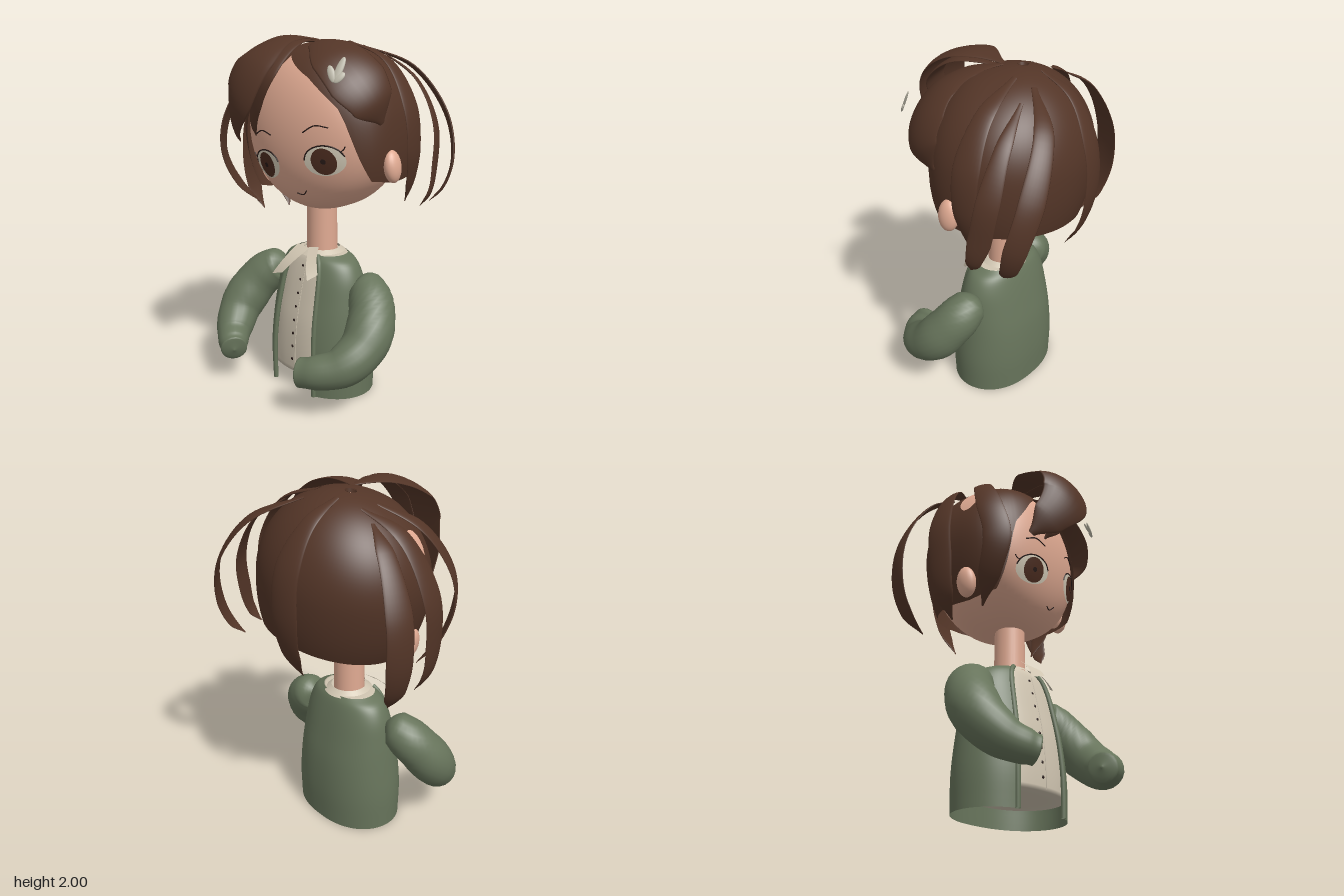
import * as THREE from 'three';
import { mergeVertices } from 'three/addons/utils/BufferGeometryUtils.js';

const mat = (name, color) => new THREE.MeshStandardMaterial({ name, color, side: THREE.DoubleSide });
const V = (x, y, z) => new THREE.Vector3(x, y, z);

// smooth surface from a rule fn(u, v) -> Vector3
function grid(fn, nu, nv) {
  const pos = [], idx = [];
  for (let i = 0; i <= nu; i++) for (let j = 0; j <= nv; j++) pos.push(...fn(i / nu, j / nv).toArray());
  for (let i = 0; i < nu; i++) for (let j = 0; j < nv; j++) {
    const a = i * (nv + 1) + j, b = a + nv + 1;
    idx.push(a, b, a + 1, b, b + 1, a + 1);
  }
  let g = new THREE.BufferGeometry();
  g.setAttribute('position', new THREE.Float32BufferAttribute(pos, 3));
  g.setIndex(idx);
  g = mergeVertices(g, 1e-5);
  g.computeVertexNormals();
  return g;
}

// sweep along [x, y, z, width] points; flat = thickness of a ribbon that hugs the head, 0 = round
const HEAD = V(0, 1.5, -0.085);
function sweep(pts, flat = 0, wrinkle = 0) {
  const path = new THREE.CatmullRomCurve3(pts.map(p => V(p[0], p[1], p[2])));
  const widths = pts.map(p => p[3]), n = pts.length - 1;
  return grid((u, v) => {
    const p = path.getPoint(u), t = path.getTangent(u), k = Math.min(n - 1, Math.floor(u * n)), f = u * n - k;
    const s = f * f * (3 - 2 * f) * 0.5 + f * 0.5;
    const w = (widths[k] * (1 - s) + widths[k + 1] * s) * (1 + wrinkle * Math.sin(u * 38));
    const nor = p.clone().sub(HEAD);
    nor.addScaledVector(t, -nor.dot(t)).normalize();
    const side = t.clone().cross(nor).normalize();
    const a = v * Math.PI * 2, c = Math.cos(a) * w / 2;
    const lift = flat ? Math.sin(a) * flat * Math.min(1, w / 0.05) - c * c / 0.75 : Math.sin(a) * w / 2;
    return p.addScaledVector(side, c).addScaledVector(nor, lift);
  }, n * 8, 20);
}

export function createModel() {
  const skin = mat('skin', 0xe0aa92), hair = mat('hair', 0x533527), green = mat('jacketGreen', 0x67745b);
  const cream = mat('cream', 0xd0c5b1), white = mat('eyeWhite', 0xd8cfbb), iris = mat('iris', 0x4d2d20);
  const dark = mat('dark', 0x281a17), silver = mat('clipGrey', 0xb8b4a4);
  const model = new THREE.Group();
  const add = (parent, name, geo, m) => {
    const mesh = new THREE.Mesh(geo, m);
    mesh.name = name;
    parent.add(mesh);
    return mesh;
  };

  // ---- torso, turned slightly to its right
  const torso = new THREE.Group();
  torso.name = 'torso';
  torso.position.set(-0.01, 0, -0.01);
  torso.rotation.y = -0.28;
  model.add(torso);
  const rows = [[0, 0.342, 0.243], [0.2, 0.345, 0.246], [0.4, 0.328, 0.23], [0.55, 0.31, 0.2],
    [0.68, 0.285, 0.168], [0.76, 0.24, 0.142], [0.797, 0.17, 0.12]];
  const outline = new THREE.CatmullRomCurve3(rows.map(r => V(r[1], r[0], r[2])));
  const onTorso = (v, a, scale) => {
    const r = outline.getPoint(v);
    return V(r.x * scale * Math.sign(Math.sin(a)) * Math.abs(Math.sin(a)) ** 0.85, r.y, r.z * scale * Math.cos(a));
  };
  const gap = 0.45;
  add(torso, 'jacket', grid((u, v) => onTorso(v, gap + u * (2 * Math.PI - 2 * gap), 1), 64, 30), green);
  for (const s of [-1, 1]) {
    const edge = Array.from({ length: 12 }, (_, i) => onTorso(i / 11, s * gap, 1));
    add(torso, 'jacketTrim', new THREE.TubeGeometry(new THREE.CatmullRomCurve3(edge), 30, 0.014, 8), green);
  }
  // shirt, closed above and below
  add(torso, 'shirt', grid((u, v) => {
    const k = Math.min(1, Math.max(0, (v - 0.06) / 0.88));
    const p = onTorso(0.09 + k * 0.91, u * Math.PI * 2, 0.95);
    const close = v < 0.06 ? v / 0.06 : v > 0.94 ? (1 - v) / 0.06 : 1;
    return V(p.x * close, p.y, p.z * close);
  }, 48, 50), cream);
  const front = y => {
    let v = 0;
    while (v < 1 && outline.getPoint(v).y < y) v += 0.01;
    return onTorso(v, 0, 0.95).z;
  };
  const placket = Array.from({ length: 10 }, (_, i) => V(0.025, 0.12 + i * 0.07, front(0.12 + i * 0.07)));
  add(torso, 'placketSeam', new THREE.TubeGeometry(new THREE.CatmullRomCurve3(placket), 20, 0.003, 5), cream);
  for (let i = 0; i < 8; i++) {
    const y = 0.18 + i * 0.078;
    const b = add(torso, 'button', new THREE.SphereGeometry(0.009, 10, 8), dark);
    b.position.set(0, y, front(y));
    b.scale.z = 0.4;
  }

  // ---- sleeves
  add(model, 'rightSleeve', sweep([[-0.27, 0.66, -0.05, 0], [-0.34, 0.64, -0.04, 0.21], [-0.45, 0.545, 0, 0.26],
    [-0.52, 0.39, 0.1, 0.26], [-0.49, 0.27, 0.22, 0.21], [-0.435, 0.23, 0.3, 0.17], [-0.4, 0.215, 0.34, 0.15],
    [-0.385, 0.21, 0.355, 0]], 0, 0.025), green);
  add(model, 'leftSleeve', sweep([[0.24, 0.66, 0.03, 0], [0.31, 0.64, 0.05, 0.21], [0.39, 0.545, 0.12, 0.26],
    [0.415, 0.4, 0.24, 0.26], [0.35, 0.3, 0.37, 0.22], [0.23, 0.265, 0.44, 0.18], [0.14, 0.25, 0.455, 0.16],
    [0.115, 0.248, 0.457, 0]], 0, 0.025), green);

  // ---- neck, collar and loose neck ribbons
  add(model, 'neck', new THREE.CylinderGeometry(0.085, 0.088, 0.34, 32), skin).position.set(-0.01, 0.94, -0.012);
  add(model, 'collar', new THREE.CylinderGeometry(0.1, 0.14, 0.03, 32, 1, true), cream).position.set(-0.005, 0.803, -0.01);
  const strip = (a, b, c, d) => grid((u, v) => {
    const p = V(...a).lerp(V(...b), u).lerp(V(...d).lerp(V(...c), u), v);
    p.z += 0.02 * Math.sin(v * Math.PI);
    return p;
  }, 4, 8);
  add(model, 'neckRibbon', strip([-0.11, 0.84, 0.09], [-0.02, 0.83, 0.11], [-0.11, 0.71, 0.25], [-0.2, 0.68, 0.22]), cream);
  add(model, 'neckRibbon', strip([-0.03, 0.83, 0.1], [0.03, 0.84, 0.09], [0.085, 0.71, 0.19], [0.04, 0.68, 0.23]), cream);

  // ---- head, tilted to one side; the front half is flattened by a power rule
  const head = new THREE.Group();
  head.name = 'head';
  head.position.copy(HEAD);
  head.rotation.set(0, -0.1, 0.15);
  model.add(head);
  const R = V(0.435, 0.455, 0.39);
  const flatten = (c, power) => (c > 0 ? c ** power : c);
  add(head, 'face', grid((u, v) => {
    const a = u * 2 * Math.PI, k = Math.sin(v * Math.PI);
    return V(R.x * k * Math.sin(a), R.y * Math.cos(v * Math.PI), R.z * flatten(k * Math.cos(a), 0.62));
  }, 96, 48), skin);
  const onFace = (x, y, off) =>
    V(x, y, R.z * flatten(Math.sqrt(Math.max(0, 1 - (x / R.x) ** 2 - (y / R.y) ** 2)), 0.62) + off);
  const disc = (cx, cy, rx, ry, off) => grid((u, v) =>
    onFace(cx + u * rx * Math.cos(v * 2 * Math.PI), cy + u * ry * Math.sin(v * 2 * Math.PI), off), 6, 32);
  const line = (pts, r) => new THREE.TubeGeometry(
    new THREE.CatmullRomCurve3(pts.map(p => onFace(p[0], p[1], 0.004))), 24, r, 6);
  for (const s of [-1, 1]) {
    const x = s * 0.195, y = -0.158;
    add(head, 'eyeWhite', disc(x, y, 0.107, 0.08, 0.004), white);
    add(head, 'iris', disc(x, y - 0.003, 0.066, 0.071, 0.007), iris);
    add(head, 'pupil', disc(x, y - 0.003, 0.014, 0.014, 0.0095), dark);
    const lash = [0, 1, 2, 3, 4, 5, 6].map(i => {
      const a = (0.05 + 0.9 * i / 6) * Math.PI;
      return [x + s * 0.107 * Math.cos(a), y + 0.081 * Math.sin(a)];
    });
    add(head, 'upperLash', line(lash, 0.004), dark);
    add(head, 'lashFlick', line([[x + s * 0.095, y + 0.04], [x + s * 0.11, y + 0.052], [x + s * 0.117, y + 0.065]], 0.003), dark);
    add(head, 'eyebrow', line([[s * 0.11, 0.0], [s * 0.18, 0.028], [s * 0.25, 0.01]], 0.0035), dark);
    const ear = add(head, 'ear', new THREE.SphereGeometry(1, 24, 18), skin);
    ear.position.set(s * 0.455, -0.23, 0.09 + s * 0.02);
    ear.scale.set(0.042, 0.087, 0.058);
  }
  add(head, 'mouth', line([[-0.035, -0.325], [0, -0.337], [0.035, -0.315]], 0.003), dark);

  // ---- hair cap with a small hole at the crown: rim height follows the angle from the front
  const C = V(0.48, 0.475, 0.41);
  const hairline = [[0, 0.4], [0.4, 0.27], [0.74, 0.09], [0.84, -0.06], [0.94, -0.18], [1.1, -0.29], [1.5, -0.32], [Math.PI, -0.29]];
  const rimY = a => {
    const i = Math.max(1, hairline.findIndex(h => h[0] >= a - 1e-6));
    const [p, q] = [hairline[i - 1], hairline[i]];
    return p[1] + (q[1] - p[1]) * Math.min(1, (a - p[0]) / (q[0] - p[0]));
  };
  const capScale = y => Math.sqrt(Math.max(0, 1 - (y < 0 ? 0.72 : 1) ** 2 * (y / C.y) ** 2));
  add(head, 'hairCap', grid((u, v) => {
    const a = (u * 2 - 1) * Math.PI, hole = 0.068;
    const y = C.y * Math.cos(hole + v * (Math.acos(rimY(Math.abs(a)) / C.y) - hole)), k = capScale(y);
    const round = Math.min(1, Math.max(0, (k - 0.1) / 0.4));
    return V(C.x * k * Math.sin(a), y, C.z * k * (Math.cos(a) * (1 - round) + round * flatten(Math.cos(a) * k, 0.7) / k));
  }, 96, 40), hair);
  add(head, 'crownHoleWall', new THREE.CylinderGeometry(0.032, 0.026, 0.03, 24, 1, true), hair).position.y = 0.46;
  // bare patch at the right temple
  add(head, 'templePatch', grid((u, v) => {
    const x = -0.375 + u * 0.056 * Math.cos(v * 2 * Math.PI), z = 0.08 + u * 0.056 * Math.sin(v * 2 * Math.PI);
    const c = (z / C.z) ** (1 / 0.7);
    return V(x, C.y * Math.sqrt(Math.max(0, 1 - (x / C.x) ** 2 - c * c)), z).multiplyScalar(1.012);
  }, 8, 28), skin);

  // ---- swept fringe
  const locks = {
    leftFringe: [[-0.02, 1.97, 0.0, 0.03], [0.1, 1.965, 0.13, 0.19], [0.24, 1.91, 0.23, 0.3], [0.375, 1.8, 0.26, 0.33],
      [0.45, 1.68, 0.23, 0.26], [0.45, 1.57, 0.16, 0.03]],
    rightFringe: [[-0.03, 1.975, 0.0, 0.03], [-0.12, 1.99, 0.21, 0.25], [-0.17, 1.89, 0.42, 0.33], [-0.235, 1.71, 0.48, 0.31],
      [-0.31, 1.55, 0.4, 0.21], [-0.345, 1.45, 0.3, 0.04]],
    innerFringe: [[-0.01, 1.97, 0.03, 0.03], [-0.03, 1.96, 0.26, 0.12], [-0.07, 1.83, 0.42, 0.14], [-0.14, 1.68, 0.42, 0.12],
      [-0.2, 1.55, 0.37, 0.09], [-0.22, 1.48, 0.32, 0.01]],
    // loose locks fanning out from the crown
    backLock: [[-0.06, 1.955, -0.2, 0.03], [-0.02, 1.87, -0.38, 0.09], [0.03, 1.66, -0.51, 0.16], [0.04, 1.4, -0.54, 0.17],
      [0.04, 1.18, -0.49, 0.13], [0.03, 1.03, -0.4, 0.01]],
    rightBackLock: [[-0.29, 1.87, -0.24, 0.02], [-0.42, 1.77, -0.33, 0.1], [-0.55, 1.5, -0.41, 0.15], [-0.565, 1.25, -0.42, 0.15],
      [-0.52, 1.06, -0.38, 0.12], [-0.44, 0.94, -0.31, 0.01]],
    rightSideLock: [[-0.2, 1.92, -0.2, 0.02], [-0.42, 1.81, -0.17, 0.1], [-0.58, 1.52, -0.14, 0.15], [-0.595, 1.27, -0.12, 0.15],
      [-0.56, 1.08, -0.11, 0.12], [-0.48, 0.96, -0.1, 0.01]],
    rightFrontLock: [[-0.22, 1.92, -0.08, 0.03], [-0.42, 1.81, 0.03, 0.1], [-0.545, 1.57, 0.15, 0.14], [-0.545, 1.36, 0.2, 0.15],
      [-0.5, 1.17, 0.13, 0.12], [-0.41, 1.04, 0.04, 0.01]],
    leftBackLock: [[0.12, 1.94, -0.23, 0.03], [0.36, 1.83, -0.38, 0.1], [0.56, 1.58, -0.41, 0.13], [0.63, 1.34, -0.36, 0.12],
      [0.6, 1.18, -0.31, 0.09], [0.54, 1.1, -0.26, 0.01]],
    leftSideLock: [[0.25, 1.91, -0.22, 0.02], [0.46, 1.77, -0.22, 0.08], [0.59, 1.54, -0.2, 0.12], [0.61, 1.32, -0.16, 0.12],
      [0.6, 1.18, -0.12, 0.08], [0.56, 1.11, -0.09, 0.01]],
    leftFrontLock: [[0.1, 1.965, -0.12, 0.03], [0.36, 1.87, -0.08, 0.1], [0.51, 1.65, -0.05, 0.15], [0.54, 1.42, -0.05, 0.14],
      [0.51, 1.25, -0.08, 0.1], [0.46, 1.12, -0.11, 0.01]],
  };
  for (const [name, pts] of Object.entries(locks)) add(model, name, sweep(pts, 0.007), hair);

  // ---- leaf hair clip
  const clip = new THREE.Group();
  clip.name = 'hairClip';
  clip.position.set(0.31, 1.785, 0.4);
  clip.rotation.set(-0.4, 0.35, 0);
  model.add(clip);
  for (const [angle, len] of [[0.45, 0.045], [-0.2, 0.068], [-0.65, 0.035]]) {
    const leaf = add(clip, 'clipLeaf', new THREE.SphereGeometry(1, 14, 10), silver);
    leaf.scale.set(0.019, len, 0.006);
    leaf.rotation.z = angle;
    leaf.position.set(-Math.sin(angle) * len, Math.cos(angle) * len, 0);
  }
  return model;
}
